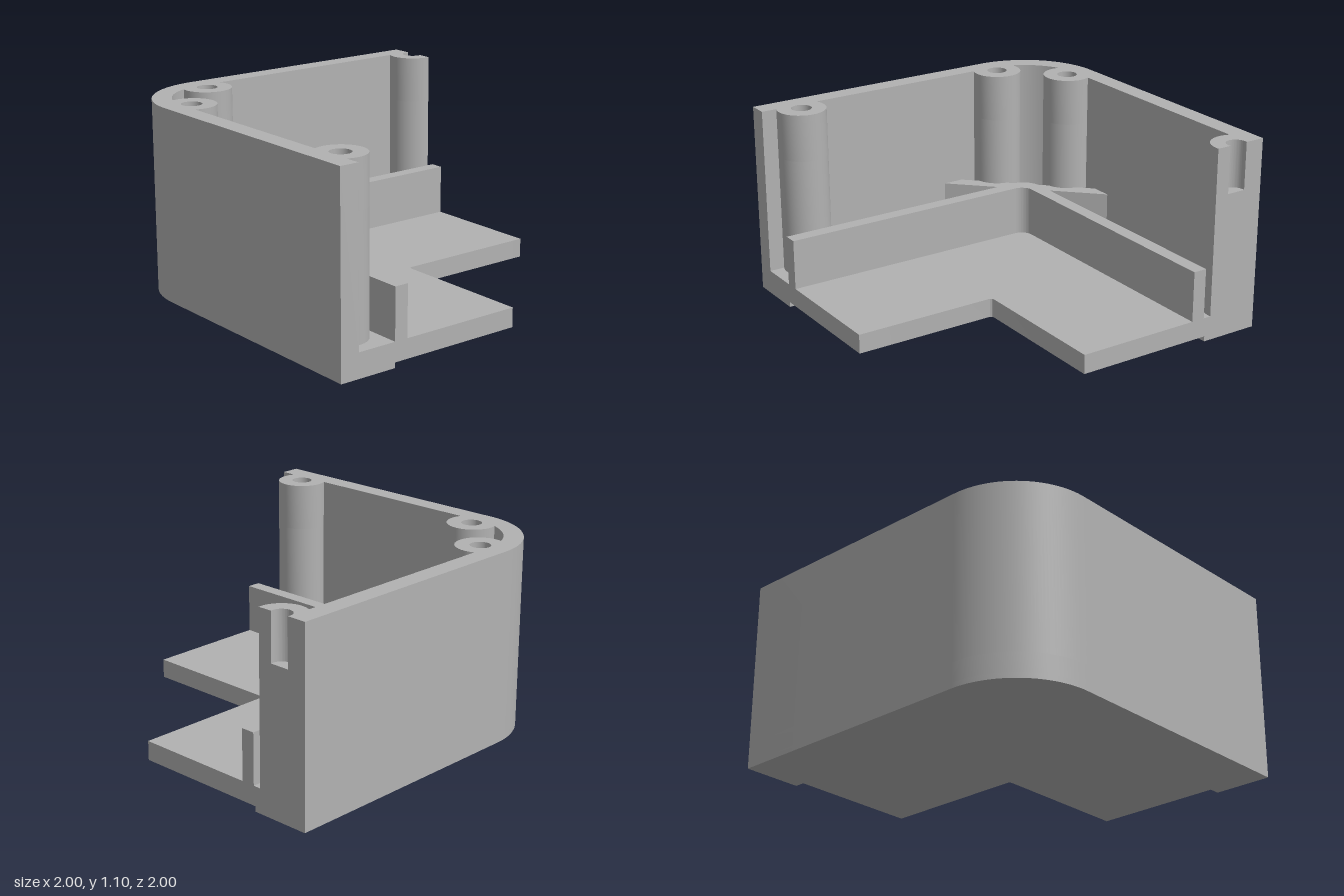
import * as THREE from 'three';
import { toCreasedNormals } from 'three/addons/utils/BufferGeometryUtils.js';

const PI = Math.PI;

// Plan drawn in (x, z), raised from y0 to y1
function raise(shape, y0, y1) {
  const geo = new THREE.ExtrudeGeometry(shape, { depth: y1 - y0, bevelEnabled: false, curveSegments: 20 });
  geo.rotateX(PI / 2).translate(0, y1, 0);
  return toCreasedNormals(geo, 0.5);
}

// L-shaped band with rounded corners: outer edges xo, zo and inner edges xi, zi
function bandPlan(xo, zo, ro, xi, zi, ri) {
  const s = new THREE.Shape();
  s.moveTo(1, zo);
  s.lineTo(xo + ro, zo);
  s.absarc(xo + ro, zo + ro, ro, 1.5 * PI, PI, true);
  s.lineTo(xo, 1);
  s.lineTo(xi, 1);
  s.lineTo(xi, zi + ri);
  s.absarc(xi + ri, zi + ri, ri, PI, 1.5 * PI, false);
  s.lineTo(1, zi);
  s.closePath();
  return s;
}

const BOSS_R = 0.14, HOLE_R = 0.058, HOLE_Y = 0.83, FLOOR_Y = 0.14, TOP_Y = 1.1;

function bossPlan(x, z, hollow) {
  const s = new THREE.Shape();
  s.absarc(x, z, BOSS_R, 0, 2 * PI, false);
  if (hollow) {
    const hole = new THREE.Path();
    hole.absarc(x, z, HOLE_R, 0, 2 * PI, true);
    s.holes.push(hole);
  }
  return s;
}

// Boss cut off by the plane x = 1
function cutBossPlan(x, z, hollow) {
  const a = Math.acos((1 - x) / BOSS_R), b = Math.acos((1 - x) / HOLE_R);
  const s = new THREE.Shape();
  s.absarc(x, z, BOSS_R, a, 2 * PI - a, false);
  if (hollow) s.absarc(x, z, HOLE_R, 2 * PI - b, b, true);
  s.closePath();
  return s;
}

export function createModel() {
  const group = new THREE.Group();
  const grey = new THREE.MeshStandardMaterial({ color: 0xb2b2b2 });
  grey.name = 'plain grey';

  function add(name, shape, y0, y1) {
    const mesh = new THREE.Mesh(raise(shape, y0, y1), grey);
    mesh.name = name;
    group.add(mesh);
  }

  // Base, outer wall and inner ridge
  add('bottomRim', bandPlan(-1, -1, 0.47, -0.66, -0.655, 0.04), 0, 0.03);
  add('floor', bandPlan(-1, -1, 0.47, 0.14, 0.155, 0.02), 0.03, FLOOR_Y);
  add('outerWall', bandPlan(-1, -1, 0.47, -0.89, -0.89, 0.36), FLOOR_Y, TOP_Y);
  add('innerRidge', bandPlan(-0.66, -0.645, 0.12, -0.58, -0.565, 0.07), FLOOR_Y, 0.43);

  // Screw bosses with blind holes
  for (const [x, z] of [[-0.83, 0.785], [-0.83, -0.53], [-0.53, -0.83]]) {
    add('screwBossBase', bossPlan(x, z, false), FLOOR_Y, HOLE_Y);
    add('screwBossTop', bossPlan(x, z, true), HOLE_Y, TOP_Y);
  }
  add('cutBossBase', cutBossPlan(0.985, -0.83, false), FLOOR_Y, HOLE_Y);
  add('cutBossTop', cutBossPlan(0.985, -0.83, true), HOLE_Y, TOP_Y);

  // Diagonal braces between wall and ridge, mirrored about the corner
  const brace = [[-0.17, -0.91], [-0.29, -0.91], [-0.58, -0.62], [-0.46, -0.62]];
  for (const swap of [false, true]) {
    const points = brace.map(([x, z]) => swap ? new THREE.Vector2(z, x) : new THREE.Vector2(x, z));
    add('diagonalBrace', new THREE.Shape(points), FLOOR_Y, 0.43);
  }
  return group;
}
